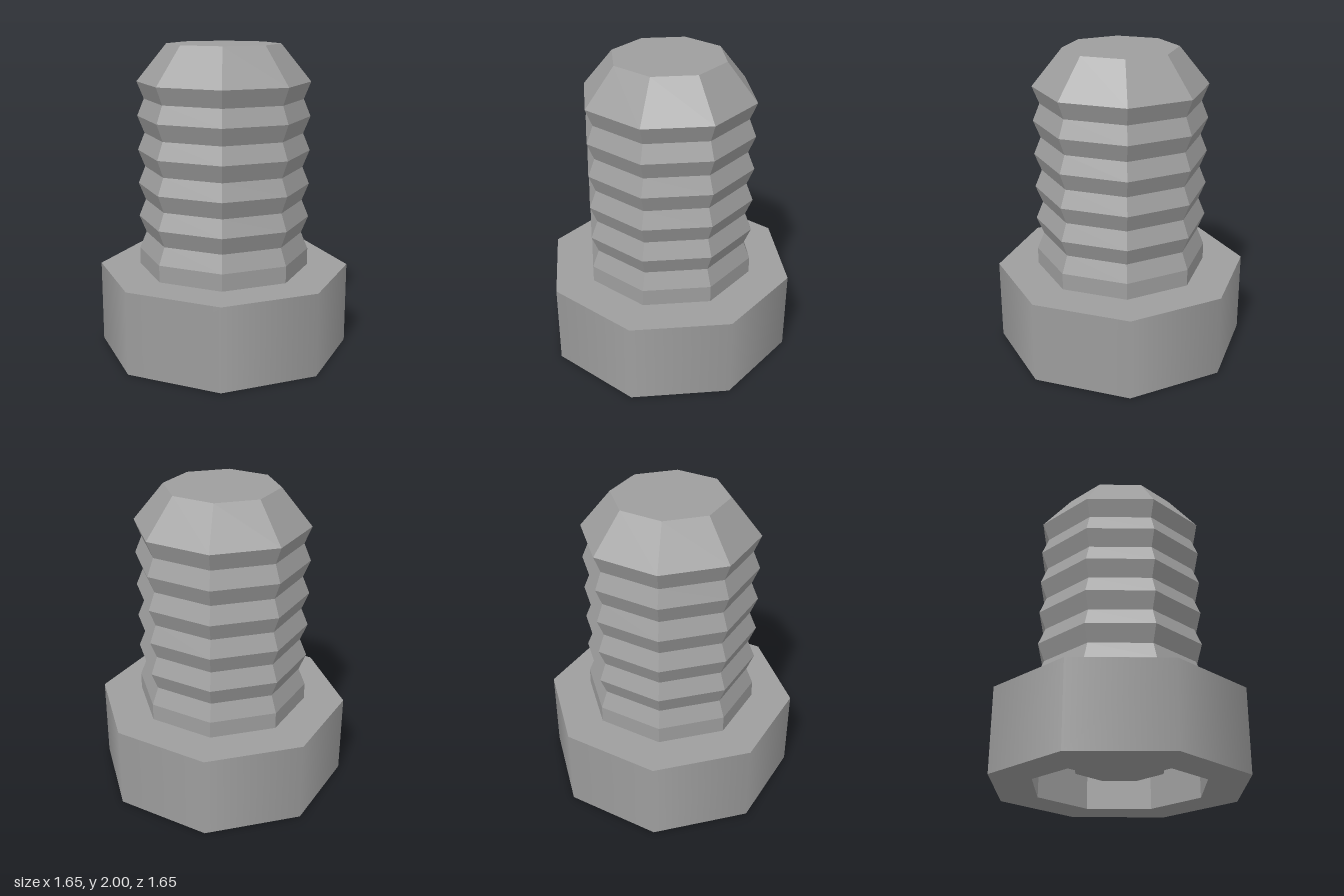
import * as THREE from 'three';

const SIDES = 8;
const flat = new THREE.MeshStandardMaterial({ color: 0x9e9e9e, flatShading: true });
const smooth = new THREE.MeshStandardMaterial({ color: 0x9e9e9e });

// Flat-shaded octagonal solid of revolution from [radius, height] pairs
function turned(name, profile) {
  const points = profile.map(([r, y]) => new THREE.Vector2(r, y));
  const mesh = new THREE.Mesh(new THREE.LatheGeometry(points, SIDES), flat);
  mesh.name = name;
  return mesh;
}

export function createModel() {
  const bolt = new THREE.Group();
  bolt.name = 'bolt';

  const headR = 0.825, headH = 0.54, shankR = 0.56, rootR = 0.515;
  const pinR = 0.3, pinY = 0.125, socketR = 0.56, socketY = 0.24;

  // Head: smooth outer wall, flat shoulder, recessed socket underneath
  const head = new THREE.Group();
  head.name = 'head';
  const wall = new THREE.Mesh(
    new THREE.CylinderGeometry(headR, headR, headH, SIDES, 1, true), smooth);
  wall.name = 'headWall';
  wall.position.y = headH / 2;
  head.add(
    wall,
    turned('headShoulder', [[headR, headH], [shankR, headH]]),
    turned('headRim', [[socketR, 0], [headR, 0]]),
    turned('socket', [[pinR, socketY], [socketR, socketY], [socketR, 0]]),
    turned('socketPin', [[0, pinY], [pinR, pinY], [pinR, socketY]])
  );

  // Shank: short collar, five thread grooves, chamfered tip
  const threads = 5, threadStart = 0.65, threadEnd = 1.76;
  const pitch = (threadEnd - threadStart) / threads;
  const profile = [[shankR, headH], [shankR, threadStart]];
  for (let i = 0; i < threads; i++) {
    const y = threadStart + i * pitch;
    profile.push([rootR, y + pitch / 2], [shankR, y + pitch]);
  }
  profile.push([0.365, 2], [0, 2]);

  bolt.add(head, turned('threadedShank', profile));
  return bolt;
}
